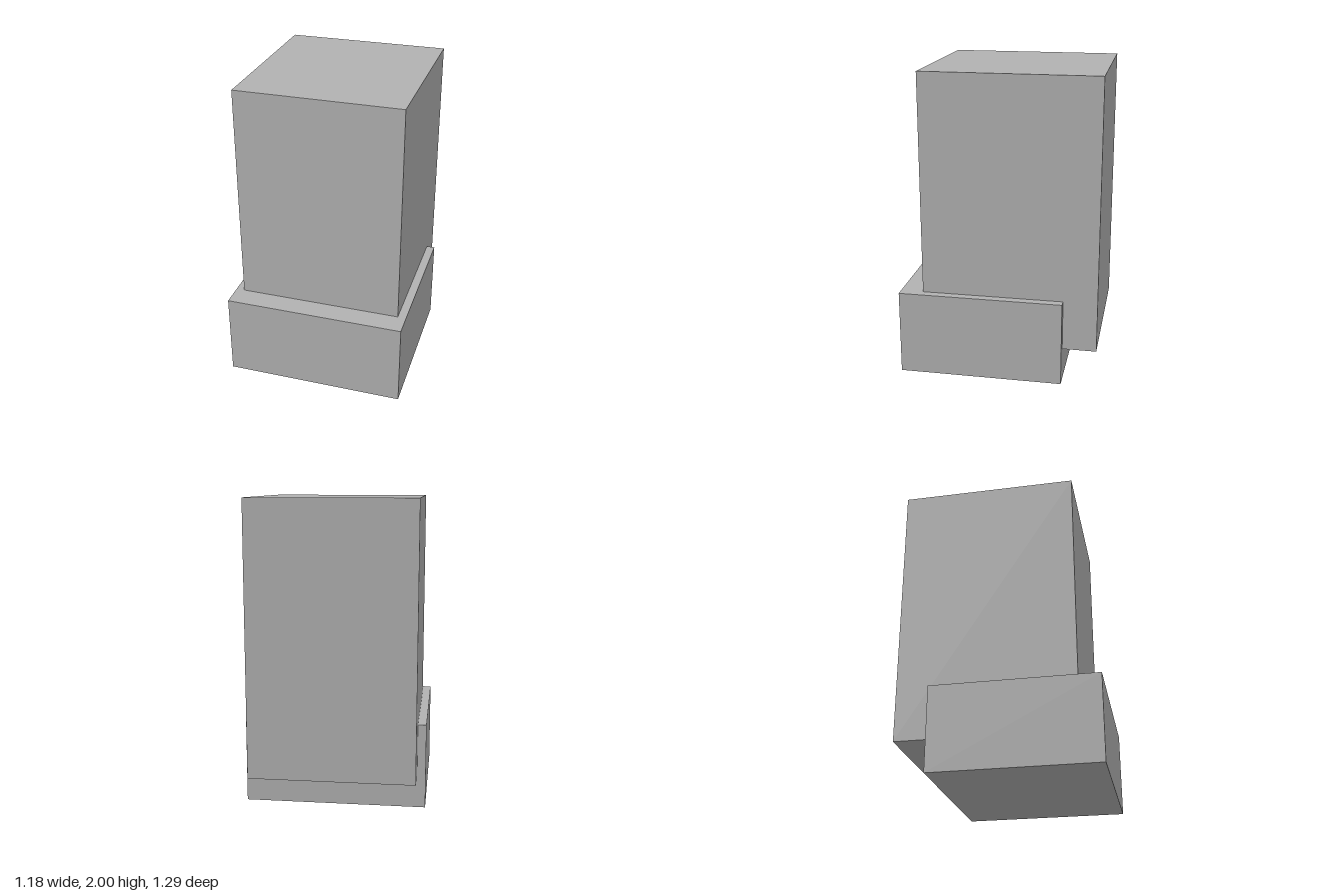
import * as THREE from 'three';

export function createModel() {
  const group = new THREE.Group();
  const grey = new THREE.MeshStandardMaterial({ color: 0xb2b2b2 });
  grey.name = 'grey';

  // Box given by its half width and its y and z extents
  function addBlock(name, halfWidth, [y0, y1], [z0, z1]) {
    const mesh = new THREE.Mesh(new THREE.BoxGeometry(2 * halfWidth, y1 - y0, z1 - z0), grey);
    mesh.name = name;
    mesh.position.set(0, (y0 + y1) / 2, (z0 + z1) / 2);
    group.add(mesh);
  }

  // Tall upper block, overhanging the base at the back
  addBlock('leg', 0.537, [0.226, 2], [-0.647, 0.498]);
  // Wider base, set forward
  addBlock('foot', 0.592, [0, 0.556], [-0.426, 0.647]);

  return group;
}
